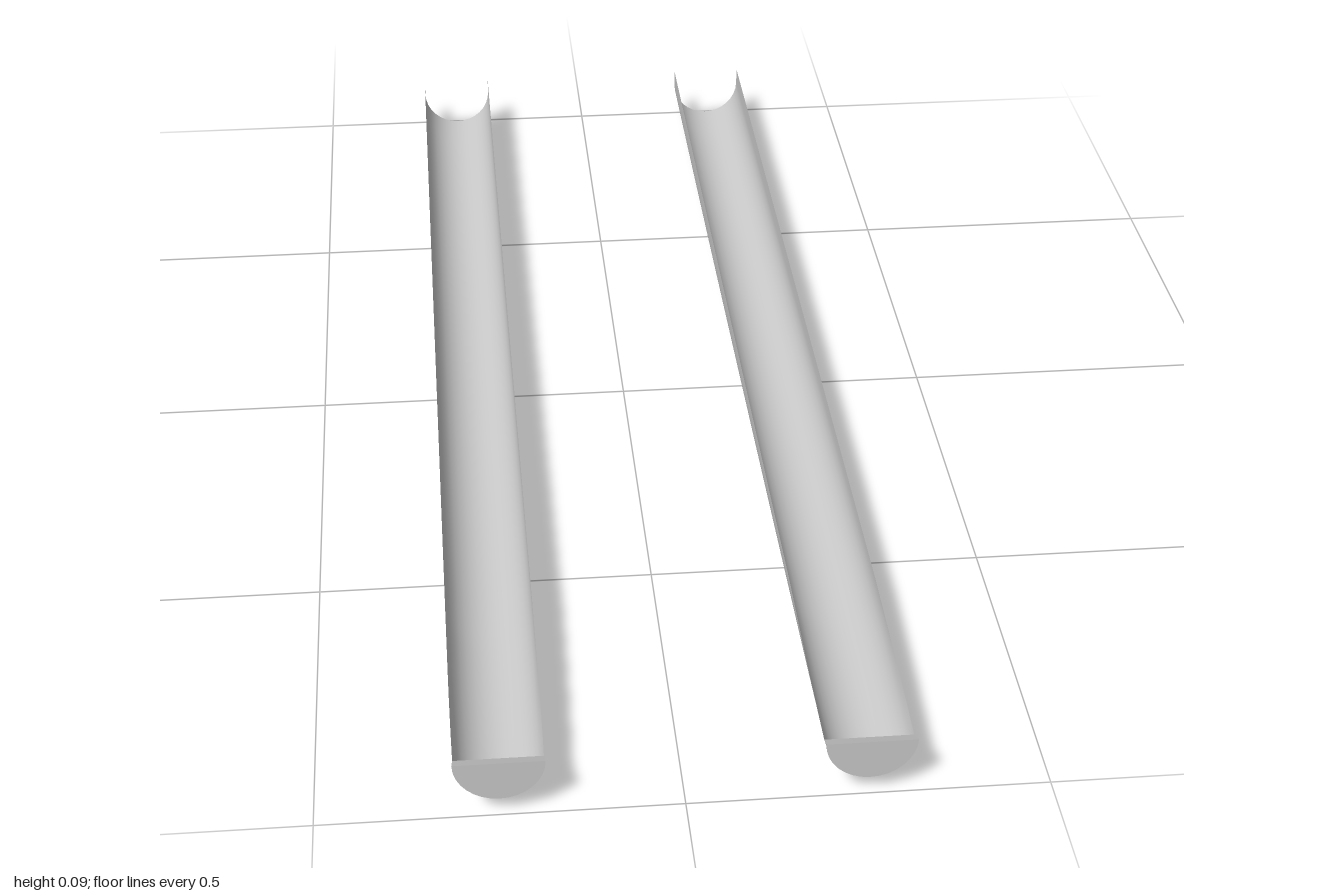
import * as THREE from 'three';

const R = 0.0625, TOP = 0.0915, LIP = 0.975, ARC = 16;
const material = new THREE.MeshStandardMaterial({ color: 0xcccccc, side: THREE.DoubleSide });

// Keel rises gently towards the front
const keel = z => 0.029 * ((z + 1) / 2) ** 2;

// Rim is level, dips near the front and rises again at the lip
function rim(z) {
  if (z <= 0.65) return TOP;
  if (z <= LIP) return TOP - 0.0135 * (z - 0.65) / (LIP - 0.65);
  return TOP - 0.0135 * (1 - z) / (1 - LIP);
}

// U-shaped cross-section: half circle with straight walls up to the rim
function section(z) {
  const c = keel(z) + R, t = rim(z);
  const cut = Math.asin(Math.max(0, c - t) / R);
  const pts = [];
  for (let i = 0; i <= ARC; i++) {
    const a = Math.PI + cut + (Math.PI - 2 * cut) * i / ARC;
    pts.push(new THREE.Vector2(R * Math.cos(a), c + R * Math.sin(a)));
  }
  pts.unshift(new THREE.Vector2(pts[0].x, t));
  pts.push(new THREE.Vector2(pts[pts.length - 1].x, t));
  return pts;
}

// Skin lofted through the cross-sections
function troughGeometry() {
  const zs = [];
  for (let i = 0; i <= 20; i++) zs.push(-1 + 1.65 * i / 20);
  for (let i = 1; i <= 8; i++) zs.push(0.65 + (LIP - 0.65) * i / 8);
  zs.push(1);
  const pos = [], idx = [], n = ARC + 3;
  zs.forEach((z, k) => {
    section(z).forEach(p => pos.push(p.x, p.y, z));
    if (k === 0) return;
    for (let j = 0; j < n - 1; j++) {
      const a = (k - 1) * n + j, b = a + n;
      idx.push(a, a + 1, b, a + 1, b + 1, b);
    }
  });
  const g = new THREE.BufferGeometry();
  g.setAttribute('position', new THREE.Float32BufferAttribute(pos, 3));
  g.setIndex(idx);
  g.computeVertexNormals();
  return g;
}

// Flat wall filling the cross-section at z
function wallGeometry(z) {
  return new THREE.ShapeGeometry(new THREE.Shape(section(z).slice(1, -1))).translate(0, 0, z);
}

// Sloping strip joining the tops of the two end walls
function lipGeometry() {
  const a = section(1), b = section(LIP), last = a.length - 1;
  const g = new THREE.BufferGeometry();
  g.setAttribute('position', new THREE.Float32BufferAttribute([
    a[0].x, a[0].y, 1, a[last].x, a[last].y, 1,
    b[last].x, b[last].y, LIP, b[0].x, b[0].y, LIP], 3));
  g.setIndex([0, 1, 2, 0, 2, 3]);
  g.computeVertexNormals();
  return g;
}

export function createModel() {
  const model = new THREE.Group();
  model.name = 'troughPair';
  const parts = {
    trough: troughGeometry(),
    frontWall: wallGeometry(1),
    innerEndWall: wallGeometry(LIP),
    endLip: lipGeometry(),
  };
  for (const side of [1, -1]) {
    const rail = new THREE.Group();
    rail.name = side > 0 ? 'leftTrough' : 'rightTrough';
    rail.position.x = 0.25 * side;
    for (const [name, geometry] of Object.entries(parts)) {
      const mesh = new THREE.Mesh(geometry, material);
      mesh.name = name;
      rail.add(mesh);
    }
    model.add(rail);
  }
  return model;
}
